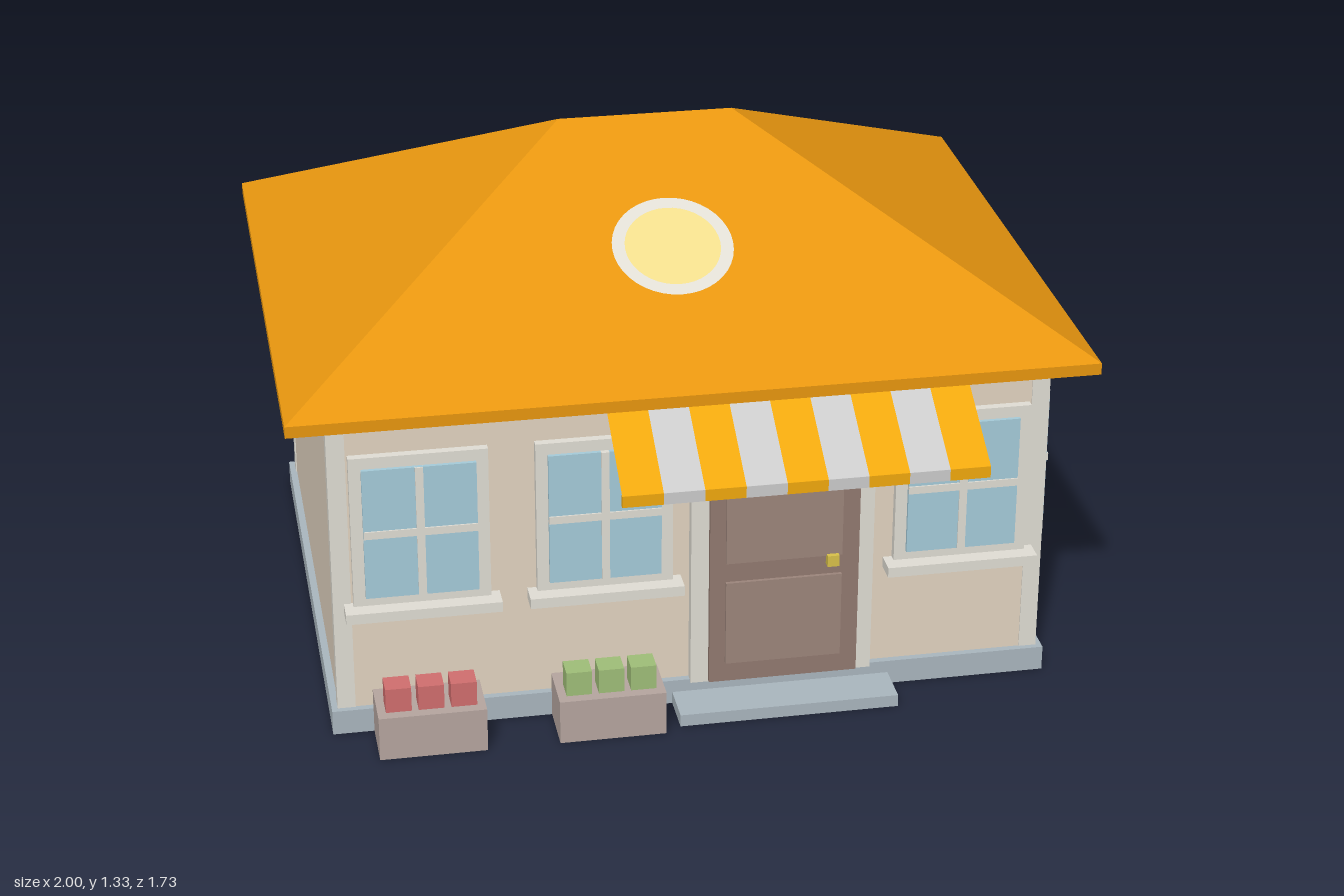
import * as THREE from 'three';
import { ConvexGeometry } from 'three/addons/geometries/ConvexGeometry.js';

const mat = (color, side = THREE.FrontSide) => new THREE.MeshStandardMaterial({ color, side, flatShading: true });
const WALL = mat(0xe2d4c0), TRIM = mat(0xe0ddd4), STONE = mat(0xaab6be), ROOF = mat(0xe8960f);
const GLASS = mat(0xa5cbd9), DOOR = mat(0x927a70), PANEL = mat(0x9c857b), BRASS = mat(0xd8c04a);
const POT = mat(0xb5a59f), RED = mat(0xd06e6e), GREEN = mat(0x9fbe78), LIGHT = mat(0xf0dc8c);
const ORANGE = mat(0xf0a80e, THREE.DoubleSide), WHITE = mat(0xcccccc, THREE.DoubleSide);

function add(parent, name, geometry, material) {
  const mesh = new THREE.Mesh(geometry, material);
  mesh.name = name;
  parent.add(mesh);
  return mesh;
}

// Box given by its limits on each axis
function box(parent, name, material, [x0, x1], [y0, y1], [z0, z1]) {
  const mesh = add(parent, name, new THREE.BoxGeometry(x1 - x0, y1 - y0, z1 - z0), material);
  mesh.position.set((x0 + x1) / 2, (y0 + y1) / 2, (z0 + z1) / 2);
  return mesh;
}

// Window facing +z, with the wall at z = 0 and the centre at the origin
function makeWindow(name, withSill) {
  const g = new THREE.Group();
  g.name = name;
  box(g, 'windowFrame', TRIM, [-0.17, 0.17], [-0.205, 0.205], [-0.01, 0.02]);
  box(g, 'windowGlass', GLASS, [-0.14, 0.14], [-0.175, 0.175], [0, 0.03]);
  box(g, 'verticalBar', TRIM, [-0.01, 0.01], [-0.175, 0.175], [0.01, 0.034]);
  box(g, 'horizontalBar', TRIM, [-0.14, 0.14], [-0.01, 0.01], [0.01, 0.034]);
  if (withSill) box(g, 'windowSill', TRIM, [-0.193, 0.193], [-0.227, -0.2], [-0.01, 0.06]);
  return g;
}

export function createModel() {
  const model = new THREE.Group();
  model.name = 'house';

  // Base, walls, corner posts and cornice
  box(model, 'foundation', STONE, [-0.915, 0.915], [0, 0.065], [-0.785, 0.605]);
  box(model, 'walls', WALL, [-0.897, 0.897], [0.06, 0.86], [-0.762, 0.587]);
  for (const [x0, x1] of [[-0.9, -0.855], [0.855, 0.9]])
    for (const [z0, z1] of [[-0.765, -0.72], [0.545, 0.59]])
      box(model, 'cornerPost', TRIM, [x0, x1], [0.06, 0.86], [z0, z1]);
  box(model, 'cornice', TRIM, [-0.925, 0.925], [0.845, 0.875], [-0.795, 0.612]);

  // Hipped roof with a thin eave
  const points = [];
  for (const x of [-1, 1]) {
    for (const z of [-0.865, 0.68])
      for (const y of [0.87, 0.9]) points.push(new THREE.Vector3(x, y, z));
    points.push(new THREE.Vector3(x * 0.225, 1.33, -0.095));
  }
  add(model, 'roof', new ConvexGeometry(points), ROOF);

  // Round window lying on the front slope
  const skylight = new THREE.Group();
  skylight.name = 'roundRoofWindow';
  skylight.position.set(0, 1.127, 0.298);
  skylight.rotation.x = -Math.atan2(0.775, 0.43);
  add(skylight, 'roundGlass', new THREE.CircleGeometry(0.125, 40), LIGHT);
  add(skylight, 'roundFrame', new THREE.RingGeometry(0.12, 0.152, 40), TRIM).position.z = 0.002;
  model.add(skylight);

  // Windows on the front and on the left wall
  for (const x of [-0.68, -0.225, 0.68]) {
    const w = makeWindow('frontWindow', true);
    w.position.set(x, 0.56, 0.588);
    model.add(w);
  }
  for (const z of [0.36, -0.09, -0.54]) {
    const w = makeWindow('sideWindow', false);
    w.position.set(0.9, 0.56, z);
    w.rotation.y = Math.PI / 2;
    model.add(w);
  }

  // Door, its frame, panels, knob and step
  box(model, 'doorFrame', TRIM, [-0.01, 0.455], [0.06, 0.745], [0.57, 0.615]);
  box(model, 'door', DOOR, [0.035, 0.415], [0.065, 0.7], [0.58, 0.628]);
  for (const ys of [[0.12, 0.35], [0.405, 0.65]])
    box(model, 'doorPanel', PANEL, [0.075, 0.37], ys, [0.6, 0.637]);
  box(model, 'doorKnob', BRASS, [0.33, 0.36], [0.38, 0.41], [0.62, 0.65]);
  box(model, 'doorStep', STONE, [-0.055, 0.505], [0, 0.032], [0.58, 0.72]);

  // Striped awning: a thin sloping sheet with a hanging front edge
  const rise = 0.145, run = 0.265;
  for (let i = 0; i < 9; i++) {
    const x = -0.225 + i * 0.1, material = i % 2 ? WHITE : ORANGE;
    const stripe = add(model, 'awningStripe', new THREE.PlaneGeometry(0.1, Math.hypot(rise, run)), material);
    stripe.position.set(x + 0.05, 0.74 + rise / 2, 0.6 + run / 2);
    stripe.rotation.x = -Math.atan2(run, rise);
    box(model, 'awningEdge', material, [x, x + 0.1], [0.71, 0.74], [0.856, 0.866]);
  }

  // Planters with three square plants each
  for (const [x, plant] of [[-0.678, RED], [-0.229, GREEN]]) {
    box(model, 'planter', POT, [x - 0.134, x + 0.134], [0, 0.117], [0.6, 0.745]);
    for (const dx of [-0.081, 0, 0.081])
      box(model, 'plant', plant, [x + dx - 0.032, x + dx + 0.032], [0.11, 0.182], [0.657, 0.718]);
  }
  return model;
}
